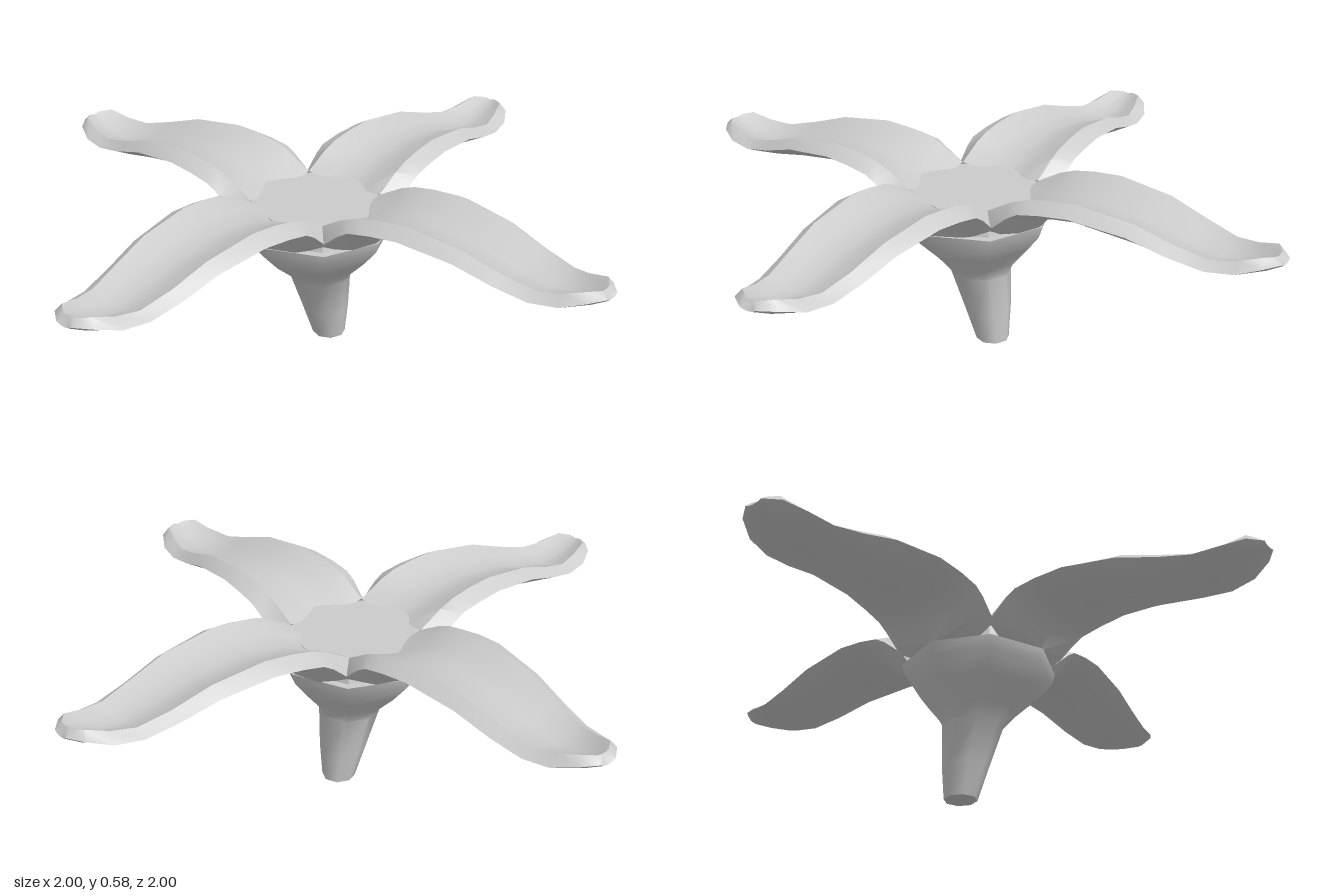
import * as THREE from 'three';
import { toCreasedNormals } from 'three/addons/utils/BufferGeometryUtils.js';

const material = new THREE.MeshStandardMaterial({ color: 0xcccccc });

// Skins closed rings of points (counter-clockwise seen from the last ring) and caps both ends.
function loft(rings, crease) {
  const n = rings[0].length;
  const last = (rings.length - 1) * n;
  const index = [];
  for (let i = 0; i < rings.length - 1; i++) {
    for (let j = 0; j < n; j++) {
      const a = i * n + j, b = i * n + (j + 1) % n;
      index.push(a, b, b + n, a, b + n, a + n);
    }
  }
  for (let j = 1; j < n - 1; j++) {
    index.push(0, j + 1, j, last, last + j, last + j + 1);
  }
  const geometry = new THREE.BufferGeometry();
  geometry.setAttribute('position', new THREE.Float32BufferAttribute(rings.flat(2), 3));
  geometry.setIndex(index);
  return toCreasedNormals(geometry, crease);
}

// Eight-sided ring with a corner on each axis.
function octagon([y, radius, z]) {
  return Array.from({ length: 8 }, (_, i) => {
    const a = i * Math.PI / 4;
    return [radius * Math.cos(a), y, z - radius * Math.sin(a)];
  });
}

// Cupped petal section: hollow top, ridge, bevelled rim, rounded underside.
function petalRing([rTop, rRim, wTop, wRim, yMid, yRidge, yRim, yUnder]) {
  const half = [
    [rTop, yMid + (yRidge - yMid) * 0.32, wTop * 0.5],
    [rTop, yRidge, wTop],
    [rRim, yRim, wRim],
    [rRim, yUnder + (yRim - yUnder) * 0.25, wRim * 0.62],
  ];
  const mirrored = half.map(([x, y, z]) => [x, y, -z]).reverse();
  // at the root the hollow reaches the octagon's corner
  const rMid = rTop < 0.15 ? 0.18 : rTop;
  return [[rMid, yMid, 0], ...half, [rRim, yUnder, 0], ...mirrored];
}

export function createModel() {
  const flower = new THREE.Group();
  flower.name = 'flower';
  const add = (name, geometry) => {
    const mesh = new THREE.Mesh(geometry, material);
    mesh.name = name;
    flower.add(mesh);
    return mesh;
  };

  // Bent stem flaring into the cup: height, radius, z of centre
  add('stemAndCup', loft([
    [0, 0.052, -0.07], [0.1, 0.072, -0.053], [0.23, 0.095, -0.025],
    [0.27, 0.125, -0.016], [0.33, 0.185, -0.005], [0.385, 0.232, 0], [0.422, 0.243, 0],
  ].map(octagon), 0.9));

  // Flat centre of the blossom
  add('flowerCentre', loft([[0.41, 0.22, 0], [0.495, 0.198, 0]].map(octagon), 0.5));

  // Petal sections: top r, rim r, top and rim half-widths, then heights of middle, ridge, rim, underside
  const petal = loft([
    [0.14, 0.17, 0.14, 0.182, 0.485, 0.5, 0.46, 0.41],
    [0.22, 0.235, 0.139, 0.188, 0.502, 0.545, 0.515, 0.42],
    [0.27, 0.27, 0.137, 0.189, 0.52, 0.564, 0.536, 0.475],
    [0.34, 0.34, 0.134, 0.186, 0.536, 0.577, 0.549, 0.502],
    [0.43, 0.43, 0.13, 0.179, 0.545, 0.585, 0.557, 0.511],
    [0.6, 0.6, 0.119, 0.159, 0.528, 0.566, 0.538, 0.487],
    [0.72, 0.72, 0.107, 0.142, 0.497, 0.529, 0.504, 0.467],
    [0.82, 0.82, 0.09, 0.126, 0.48, 0.505, 0.484, 0.455],
    [0.89, 0.9, 0.073, 0.11, 0.488, 0.513, 0.49, 0.472],
    [0.955, 0.963, 0.054, 0.075, 0.511, 0.533, 0.508, 0.49],
    [0.978, 0.998, 0.022, 0.028, 0.526, 0.53, 0.512, 0.504],
  ].map(petalRing), 0.72);
  for (let i = 0; i < 4; i++) add('petal', petal).rotation.y = i * Math.PI / 2;

  return flower;
}
